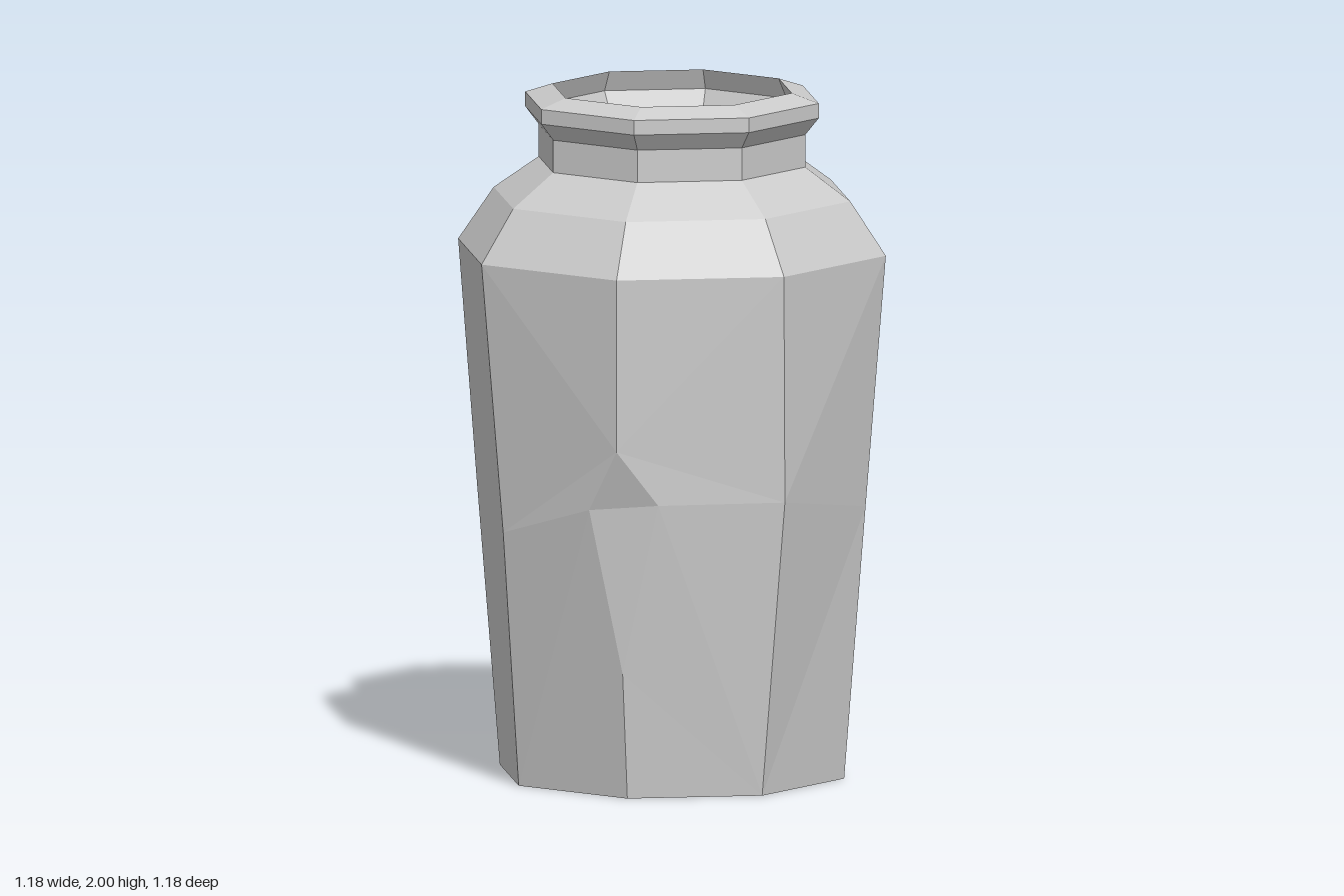
import * as THREE from 'three';

const STEP = Math.PI / 4;
const SLANT = Math.cos(STEP / 2);

// Eight corners of a regular octagon with the given half width
const octagon = (half, y) => Array.from({ length: 8 }, (_, k) => {
  const a = STEP / 2 + k * STEP, r = half / SLANT;
  return [r * Math.cos(a), y, r * Math.sin(a)];
});

// Eight-sided turned shape from [half width, height] pairs
const turned = (profile) => new THREE.LatheGeometry(
  profile.map(([half, y]) => new THREE.Vector2(half / SLANT, y)), 8, STEP / 2);

// Tapered hand-cut body with uneven middle corners and a chip out of one edge
function bodyGeometry() {
  const T = octagon(0.59, 1.535), B = octagon(0.475, 0);
  const M = [
    [0.575, 0.87, 0.22], null, [-0.2, 0.75, 0.545], [-0.54, 0.82, 0.22],
    [-0.54, 0.86, -0.22], [-0.2, 0.64, -0.59], [0.205, 0.62, -0.535], [0.535, 0.8, -0.22],
  ];
  const chipTop = [0.235, 1.03, 0.578], chipLeft = [0.13, 0.85, 0.57];
  const chipRight = [0.32, 0.87, 0.49], chipBottom = [0.21, 0.37, 0.515];
  const positions = [];
  const tri = (...p) => positions.push(...p.flat());

  // Plain sides
  for (let k = 2; k < 8; k++) {
    const n = (k + 1) % 8;
    tri(T[k], T[n], M[n]); tri(T[k], M[n], M[k]);
    tri(M[k], M[n], B[n]); tri(M[k], B[n], B[k]);
  }
  // Side to the left of the chip
  tri(T[0], T[1], chipTop); tri(T[0], chipTop, M[0]);
  tri(chipTop, chipRight, M[0]); tri(M[0], chipRight, B[0]);
  tri(chipRight, chipBottom, B[0]); tri(chipBottom, B[1], B[0]);
  // Front side
  tri(T[1], T[2], chipTop); tri(T[2], M[2], chipTop);
  tri(chipTop, M[2], chipLeft); tri(M[2], B[2], chipLeft);
  tri(B[2], chipBottom, chipLeft); tri(B[2], B[1], chipBottom);
  // Chip faces
  tri(chipTop, chipLeft, chipRight); tri(chipLeft, chipBottom, chipRight);
  // Underside
  for (let k = 0; k < 8; k++) tri([0, 0, 0], B[k], B[(k + 1) % 8]);

  const geometry = new THREE.BufferGeometry();
  geometry.setAttribute('position', new THREE.Float32BufferAttribute(positions, 3));
  geometry.computeVertexNormals();
  return geometry;
}

export function createModel() {
  const group = new THREE.Group();
  group.name = 'vase';
  const material = new THREE.MeshStandardMaterial({
    color: 0xcccccc, flatShading: true, side: THREE.DoubleSide,
  });
  const add = (name, geometry) => {
    const mesh = new THREE.Mesh(geometry, material);
    mesh.name = name;
    group.add(mesh);
  };

  add('body', bodyGeometry());
  add('shoulder', turned([[0.59, 1.535], [0.492, 1.69], [0.368, 1.785]]));
  add('neckAndLip', turned([
    [0.368, 1.785], [0.368, 1.88], [0.405, 1.93], [0.405, 1.973], [0.33, 2],
  ]));
  // Hollow inside, from the mouth down to the floor
  add('interior', turned([
    [0.33, 2], [0.355, 1.94], [0.332, 1.89], [0.332, 1.79],
    [0.455, 1.66], [0.54, 1.52], [0.435, 0.05], [0, 0.05],
  ]));
  return group;
}
